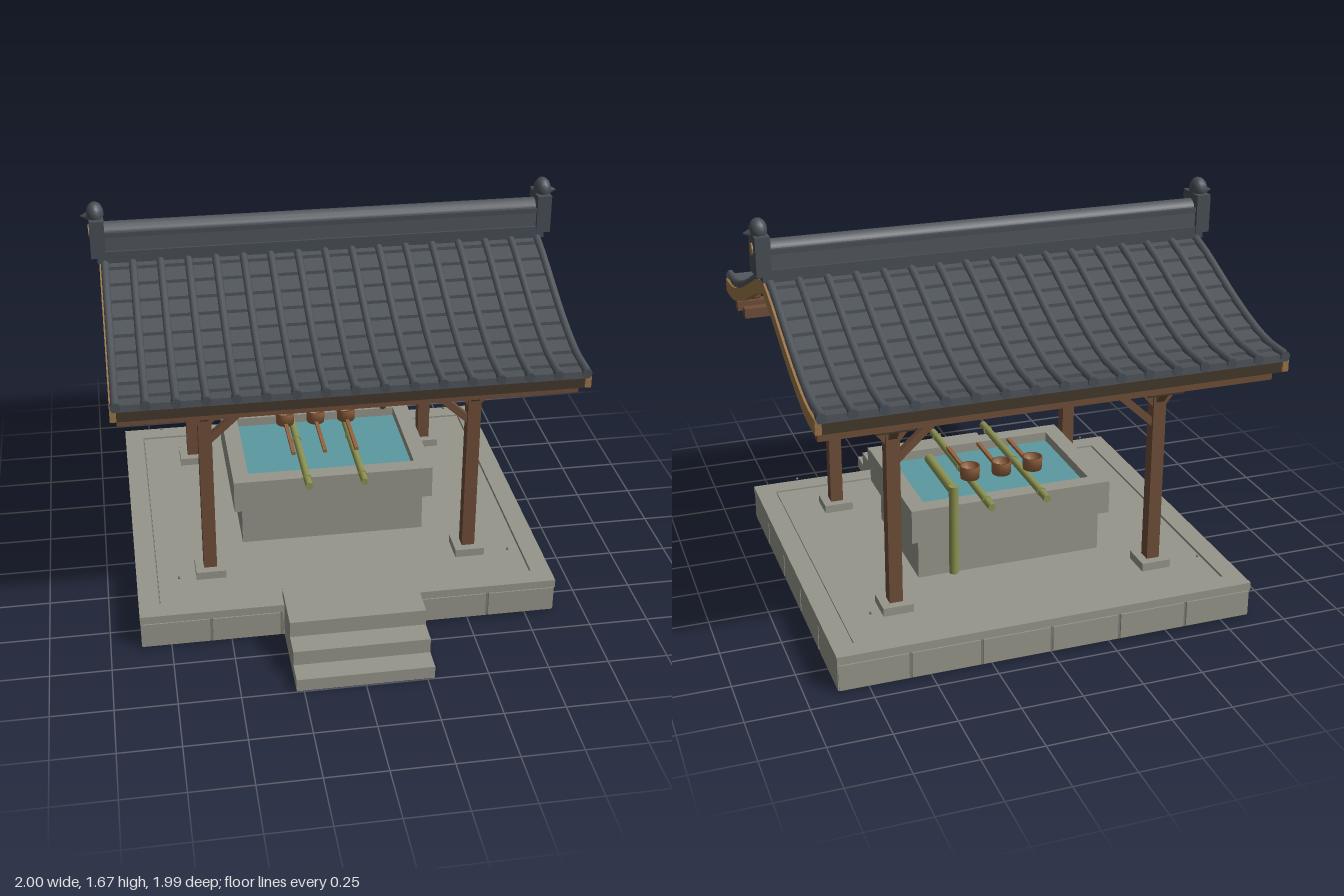
import * as THREE from 'three';

const mat = (name, color) => {
  const m = new THREE.MeshStandardMaterial({ color });
  m.name = name;
  return m;
};

export function createModel() {
  const tile = mat('slate tile', 0x50555b), ridgeMat = mat('ridge slate', 0x474e55);
  const wood = mat('timber', 0x6e4d38), tan = mat('light timber', 0x9a7448);
  const dark = mat('dark timber', 0x43372b), stone = mat('stone', 0x96968b);
  const joint = mat('stone joint', 0x7c7c72), bamboo = mat('bamboo', 0x8c9150);
  const water = mat('water', 0x5b9aa0), cupWood = mat('ladle wood', 0x94633f);

  const root = new THREE.Group();
  root.name = 'waterPavilion';
  const pavilion = new THREE.Group();
  pavilion.name = 'pavilion';
  pavilion.position.z = -0.15;
  root.add(pavilion);

  const add = (name, geo, m, parent = pavilion) => {
    const mesh = new THREE.Mesh(geo, m);
    mesh.name = name;
    parent.add(mesh);
    return mesh;
  };
  // Box given by its limits on each axis
  const box = (name, m, x0, x1, y0, y1, z0, z1, parent) => {
    const b = add(name, new THREE.BoxGeometry(x1 - x0, y1 - y0, z1 - z0), m, parent);
    b.position.set((x0 + x1) / 2, (y0 + y1) / 2, (z0 + z1) / 2);
    return b;
  };
  // Square or round bar between two points
  const bar = (name, m, a, b, size, round = false, parent) => {
    const p = new THREE.Vector3(...a), q = new THREE.Vector3(...b), d = q.clone().sub(p);
    const geo = round ? new THREE.CylinderGeometry(size, size, d.length(), 12)
      : new THREE.BoxGeometry(size, d.length(), size);
    const mesh = add(name, geo, m, parent);
    mesh.position.copy(p).add(q).multiplyScalar(0.5);
    mesh.quaternion.setFromUnitVectors(new THREE.Vector3(0, 1, 0), d.normalize());
    return mesh;
  };

  // Stone platform: core, facing blocks, border and floor
  const PX = 0.875, PZ = 0.777;
  box('platformCore', joint, -PX + 0.01, PX - 0.01, 0, 0.125, -PZ + 0.01, PZ - 0.01);
  box('platformFloor', stone, -PX + 0.09, PX - 0.09, 0.12, 0.15, -PZ + 0.09, PZ - 0.09);
  for (const s of [-1, 1]) {
    box('platformBorder', stone, -PX, PX, 0.12, 0.155, s * PZ - (s > 0 ? 0.085 : 0), s * PZ + (s < 0 ? 0.085 : 0));
    box('platformBorder', stone, s * PX - (s > 0 ? 0.085 : 0), s * PX + (s < 0 ? 0.085 : 0), 0.12, 0.155, -PZ + 0.085, PZ - 0.085);
    for (let i = 0; i < 6; i++) {
      const w = 2 * PX / 6, x = -PX + i * w;
      box('facingBlock', stone, x + 0.006, x + w - 0.006, 0.006, 0.115, s * (PZ - 0.012) - 0.01, s * (PZ - 0.012) + 0.01);
    }
    for (let i = 0; i < 5; i++) {
      const w = 2 * PZ / 5, z = -PZ + i * w;
      box('facingBlock', stone, s * (PX - 0.012) - 0.01, s * (PX - 0.012) + 0.01, 0.006, 0.115, z + 0.006, z + w - 0.006);
    }
  }

  // Entrance steps
  [[0.19, 0.95], [0.12, 1.05], [0.055, 1.145]].forEach(([h, z], i) =>
    box('step', stone, -0.28, 0.28, 0, h, i ? z - 0.1 : 0.71, z));

  // Stone basin with hollow rim and water
  box('basinBase', stone, -0.4, 0.4, 0.15, 0.33, -0.283, 0.283);
  box('basinFloor', stone, -0.43, 0.43, 0.33, 0.36, -0.31, 0.31);
  for (const s of [-1, 1]) {
    box('basinRim', stone, -0.435, 0.435, 0.33, 0.475, s * 0.28 - 0.035, s * 0.28 + 0.035);
    box('basinRim', stone, s * 0.4 - 0.035, s * 0.4 + 0.035, 0.33, 0.475, -0.245, 0.245);
  }
  box('water', water, -0.366, 0.366, 0.36, 0.435, -0.246, 0.246);

  // Bamboo rests with node rings
  for (const x of [-0.12, 0.12]) {
    bar('bambooRest', bamboo, [x, 0.484, -0.4], [x, 0.484, 0.4], 0.016, true);
    for (const z of [-0.33, 0, 0.335])
      bar('bambooNode', bamboo, [x, 0.484, z - 0.004], [x, 0.484, z + 0.004], 0.02, true);
  }

  // Ladles: open cup with long handle
  for (const x of [-0.155, -0.015, 0.125]) {
    const cup = add('ladleCup', new THREE.LatheGeometry([[0.001, 0], [0.04, 0], [0.043, 0.055],
      [0.036, 0.055], [0.034, 0.01], [0.001, 0.01]].map(p => new THREE.Vector2(...p)), 16), cupWood);
    cup.position.set(x, 0.5, -0.135);
    box('ladleHandle', cupWood, x - 0.008, x + 0.008, 0.501, 0.515, -0.1, 0.16);
  }

  // Bamboo water spout
  bar('spoutPipe', bamboo, [0.283, 0.215, -0.397], [0.283, 0.605, -0.397], 0.02, true);
  bar('spoutArm', bamboo, [0.283, 0.583, -0.4], [0.283, 0.583, -0.07], 0.02, true);
  bar('spoutMouth', dark, [0.283, 0.583, -0.071], [0.283, 0.583, -0.068], 0.014, true);

  // Posts, capitals, brackets and braces at the four corners
  for (const sx of [-1, 1]) for (const sz of [-1, 1]) {
    const corner = new THREE.Group();
    corner.name = 'cornerPost';
    corner.position.set(sx * 0.56, 0, sz * 0.475);
    pavilion.add(corner);
    const c = (name, m, w, y0, y1, d, z = 0) => box(name, m, -w / 2, w / 2, y0, y1, z - d / 2, z + d / 2, corner);
    c('footing', stone, 0.126, 0.15, 0.185, 0.126);
    c('post', wood, 0.055, 0.185, 0.99, 0.055);
    c('capital', dark, 0.155, 0.942, 0.985, 0.155);
    c('bracketBlock', wood, 0.2, 0.985, 1.022, 0.13);
    c('bracketArm', wood, 0.26, 1.022, 1.045, 0.06);
    c('outriggerArm', wood, 0.26, 1.03, 1.065, 0.21, sz * 0.05);
    for (const s of [-1, 1])
      bar('bracketStrut', wood, [s * 0.015, 0.885, 0], [s * 0.115, 1.005, 0], 0.034, false, corner);
    bar('outerStrut', wood, [0, 0.89, 0], [0, 0.995, sz * 0.095], 0.034, false, corner);
    bar('kneeBrace', wood, [-sx * 0.02, 0.8, 0], [-sx * 0.265, 1.025, 0], 0.03, false, corner);
    add('pebble', new THREE.SphereGeometry(0.006, 6, 4), joint, corner)
      .position.set(sx * 0.14, 0.235, sz * 0.155);
  }

  // Roof slope curve: x is distance from the ridge, y is height
  const slope = new THREE.SplineCurve([1.44, 1.395, 1.335, 1.275, 1.225, 1.19, 1.185]
    .map((y, i) => new THREE.Vector2(i * 0.14, y)));
  const along = (t0, t1, n, drop) => Array.from({ length: n + 1 }, (_, i) => {
    const p = slope.getPoint(t0 + (t1 - t0) * i / n);
    p.y -= drop;
    return p;
  });
  // Side profile spread across x
  const spread = (points, width) => new THREE.ExtrudeGeometry(new THREE.Shape(points),
    { depth: width, bevelEnabled: false }).translate(0, 0, -width / 2).rotateY(-Math.PI / 2);
  const band = (t0, t1, top, bottom, width) =>
    spread([...along(t0, t1, 16, bottom), ...along(t0, t1, 16, top).reverse()], width);

  for (const side of [0, 1]) {
    const half = new THREE.Group();
    half.name = side ? 'backRoof' : 'frontRoof';
    half.rotation.y = side * Math.PI;
    pavilion.add(half);

    // Overlapping tile courses with a stepped top
    const courses = [];
    for (let i = 0; i < 10; i++) {
      const a = slope.getPoint(i / 10), b = slope.getPoint((i + 1) / 10);
      courses.push(new THREE.Vector2(a.x, a.y - 0.02), new THREE.Vector2(b.x, b.y - 0.006));
    }
    add('tileCourses', spread([...along(0, 1, 16, 0.036), ...courses.reverse()], 1.85), tile, half);
    add('soffit', band(0, 0.985, 0.034, 0.052, 1.83), dark, half);
    box('eaveFascia', dark, -0.925, 0.925, 1.1, 1.152, 0.8, 0.825, half);

    // Round tile rolls with eave caps
    const path = new THREE.CatmullRomCurve3(along(0, 1, 12, 0.004).map(p => new THREE.Vector3(0, p.y, p.x)));
    const roll = new THREE.TubeGeometry(path, 16, 0.016, 8);
    for (let i = 0; i < 17; i++) {
      const x = -0.912 + i * 0.114;
      add('tileRoll', roll, tile, half).position.x = x;
      bar('eaveCap', ridgeMat, [x, 1.172, 0.822], [x, 1.172, 0.846], 0.02, true, half);
    }

    // Curved barge boards on both gables
    const barge = band(0, 0.99, 0.022, 0.08, 0.025);
    for (const s of [-1, 1]) add('bargeBoard', barge, tan, half).position.x = s * 0.922;

    // Short rafters and long beams under the eave
    const rafter = band(0.5, 0.97, 0.05, 0.076, 0.026);
    for (let i = 0; i < 20; i++) add('rafter', rafter, wood, half).position.x = -0.874 + i * 0.092;
    box('wallBeam', wood, -0.69, 0.69, 1.01, 1.1, 0.447, 0.503, half);
    box('innerPurlin', wood, -0.91, 0.91, 1.068, 1.11, 0.542, 0.588, half);
    box('eavePurlin', wood, -0.91, 0.91, 1.045, 1.086, 0.715, 0.76, half);
  }

  // Layered ridge with a rounded cap
  box('ridgeBase', ridgeMat, -0.94, 0.94, 1.42, 1.47, -0.06, 0.06);
  box('ridgeMiddle', tile, -0.925, 0.925, 1.47, 1.53, -0.05, 0.05);
  box('ridgeUpper', ridgeMat, -0.918, 0.918, 1.53, 1.55, -0.055, 0.055);
  bar('ridgeCap', tile, [-0.915, 1.54, 0], [0.915, 1.54, 0], 0.04, true);

  // Ridge end plates with pointed finials
  for (const s of [-1, 1]) {
    const end = new THREE.Group();
    end.name = 'ridgeEnd';
    end.rotation.y = s > 0 ? 0 : Math.PI;
    pavilion.add(end);
    box('endPlate', ridgeMat, 0.905, 0.965, 1.445, 1.605, -0.065, 0.065, end);
    bar('endDisc', tan, [0.964, 1.545, 0], [0.97, 1.545, 0], 0.026, true, end);
    const ball = add('finialBall', new THREE.SphereGeometry(0.045, 14, 10), ridgeMat, end);
    ball.position.set(0.938, 1.62, 0);
    ball.scale.set(0.8, 1.05, 1);
    const tip = add('finialTip', new THREE.ConeGeometry(0.035, 0.06, 10), ridgeMat, end);
    tip.rotation.z = -Math.PI / 2;
    tip.position.set(0.97, 1.61, 0);
  }
  return root;
}
